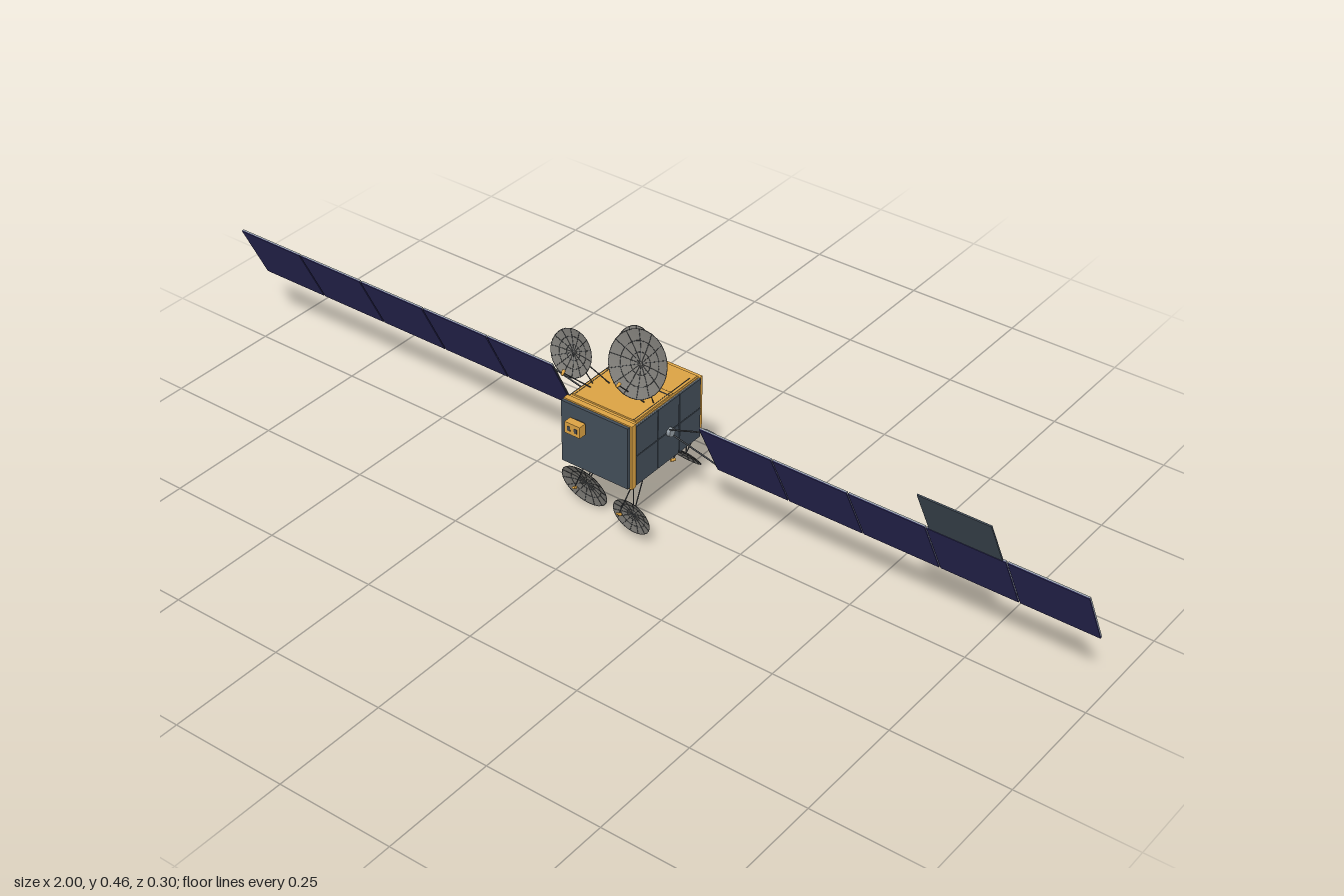
import * as THREE from 'three';

const mat = (name, color, side = THREE.FrontSide) => {
  const m = new THREE.MeshStandardMaterial({ color, side });
  m.name = name;
  return m;
};
const V = (x, y, z) => new THREE.Vector3(x, y, z);

export function createModel() {
  const root = new THREE.Group();
  root.name = 'satellite';
  const gold = mat('gold foil', 0xdca344);
  const slate = mat('slate radiator', 0x434e59);
  const navy = mat('navy solar cells', 0x2c2a59);
  const grey = mat('panel back grey', 0x959ea5);
  const metal = mat('ring metal', 0x6f7983);
  const dark = mat('dark strut', 0x45494d);
  const mesh = mat('dish mesh grey', 0x7d7b76, THREE.DoubleSide);

  const add = (parent, name, geo, material, x = 0, y = 0, z = 0) => {
    const m = new THREE.Mesh(geo, material);
    m.name = name;
    m.position.set(x, y, z);
    parent.add(m);
    return m;
  };
  const box = (parent, name, material, w, h, d, x, y, z) =>
    add(parent, name, new THREE.BoxGeometry(w, h, d), material, x, y, z);
  const rod = (parent, name, a, b, r = 0.0014, material = dark) => {
    const m = add(parent, name, new THREE.CylinderGeometry(r, r, a.distanceTo(b), 6), material);
    m.position.copy(a).add(b).multiplyScalar(0.5);
    m.quaternion.setFromUnitVectors(V(0, 1, 0), b.clone().sub(a).normalize());
    return m;
  };

  // Body with front and back plates
  const body = new THREE.Group();
  body.name = 'body';
  root.add(body);
  box(body, 'bodyCore', gold, 0.156, 0.14, 0.212, 0, 0.218, 0.012);
  box(body, 'frontFrame', gold, 0.162, 0.144, 0.012, 0, 0.218, 0.113);
  box(body, 'frontRadiator', slate, 0.158, 0.138, 0.007, -0.003, 0.218, 0.122);
  box(body, 'backPlate', gold, 0.158, 0.122, 0.01, 0, 0.224, -0.099);
  for (const s of [1, -1]) {
    box(body, 'deckPlate', gold, 0.15, 0.004, 0.115, 0, 0.218 + s * 0.0715, 0.0425);
    box(body, 'deckPlateRear', gold, 0.15, 0.002, 0.075, 0, 0.218 + s * 0.0705, -0.055);
    box(body, 'deckSeam', dark, 0.15, 0.001, 0.002, 0, 0.218 + s * 0.0738, -0.005);
    for (const x of [-0.07, 0.07])
      rod(body, 'deckRail', V(x, 0.218 + s * 0.0733, 0.1), V(x, 0.218 + s * 0.0733, -0.075), 0.0008);
    // Side radiators, three columns by two rows
    box(body, 'sideBacking', grey, 0.003, 0.135, 0.201, s * 0.0785, 0.218, 0.0065);
    for (const z of [0.0745, 0.0072, -0.061])
      for (const y of [0.184, 0.252])
        box(body, 'sideRadiator', slate, 0.003, 0.066, 0.0655, s * 0.081, y, z);
  }

  // Sensor box on the front
  box(body, 'sensorBox', gold, 0.036, 0.025, 0.017, -0.037, 0.25, 0.1405);
  box(body, 'sensorMount', dark, 0.02, 0.016, 0.008, -0.037, 0.25, 0.129);
  for (const x of [-0.045, -0.029])
    box(body, 'sensorAperture', dark, 0.007, 0.01, 0.001, x, 0.25, 0.1493);

  // Rear launch ring, an open hoop with inner rings
  const hoop = (name, r0, r1, depth, material) => {
    const s = new THREE.Shape().absarc(0, 0, r1, 0, Math.PI * 2, false);
    s.holes.push(new THREE.Path().absarc(0, 0, r0, 0, Math.PI * 2, true));
    const g = new THREE.ExtrudeGeometry(s, { depth, bevelEnabled: false, curveSegments: 24 });
    return add(body, name, g, material, 0, 0.218, -0.103 - depth);
  };
  hoop('launchRing', 0.036, 0.05, 0.012, metal);
  hoop('launchRingInner', 0.031, 0.036, 0.007, slate);
  hoop('engineRing', 0.02, 0.023, 0.004, metal);

  // Solar wings, tilted about the x axis
  for (const s of [1, -1]) {
    const wing = new THREE.Group();
    wing.name = s > 0 ? 'leftSolarWing' : 'rightSolarWing';
    wing.position.set(0, 0.218, 0.005);
    wing.rotation.x = 0.457;
    root.add(wing);
    for (let i = 0; i < 5; i++) {
      const x = s * (0.2565 + i * 0.1655);
      box(wing, 'panelBack', grey, 0.162, 0.142, 0.003, x, 0, -0.001);
      box(wing, 'panelCells', navy, 0.162, 0.142, 0.002, x, 0, 0.0015);
      if (i < 4)
        for (const y of [-0.045, 0.045])
          box(wing, 'panelHinge', dark, 0.008, 0.006, 0.003, x + s * 0.0828, y, -0.002);
    }
    // Yoke and drive hub
    for (const t of [1, -1])
      rod(wing, 'yokeArm', V(s * 0.086, t * 0.008, 0), V(s * 0.176, t * 0.058, 0), 0.0018);
    rod(wing, 'yokeBar', V(s * 0.174, -0.065, 0), V(s * 0.174, 0.065, 0), 0.0015);
    rod(wing, 'driveHub', V(s * 0.08, 0, 0), V(s * 0.09, 0, 0), 0.01, grey);
    if (s > 0) box(wing, 'auxiliaryPanel', slate, 0.15, 0.116, 0.003, 0.752, 0.129, 0);
  }

  // Mesh reflector: rim given by its upper and lower points [y, z]; faces forward
  const reflector = (name, x, top, bottom, r, feedAt, feet, feedFoot) => {
    const g = new THREE.Group();
    g.name = name;
    root.add(g);
    const dish = new THREE.Group();
    dish.name = 'dish';
    const c = V(x, (top[0] + bottom[0]) / 2, (top[1] + bottom[1]) / 2);
    const n = V(0, bottom[1] - top[1], top[0] - bottom[0]).normalize();
    dish.position.copy(c);
    dish.quaternion.setFromUnitVectors(V(0, 1, 0), n);
    g.add(dish);
    const depth = r * 0.16;
    const at = (t) => depth * (t * t - 1);
    const profile = [];
    for (let i = 0; i <= 6; i++) profile.push(new THREE.Vector2((r * i) / 6, at(i / 6)));
    add(dish, 'dishSurface', new THREE.LatheGeometry(profile, 28), mesh);
    // Ribs and hoops of the mesh
    for (let i = 0; i < 14; i++) {
      const a = (i / 14) * Math.PI * 2;
      const p = (t) => V(Math.cos(a) * r * t, at(t), Math.sin(a) * r * t);
      rod(dish, 'rib', p(0.05), p(0.5), 0.0006);
      rod(dish, 'rib', p(0.5), p(1), 0.0006);
    }
    for (const t of [0.33, 0.66, 1]) {
      const ring = add(dish, 'hoop', new THREE.TorusGeometry(r * t, 0.0006, 4, 28), dark, 0, at(t), 0);
      ring.rotation.x = Math.PI / 2;
    }
    // Support struts, feed boom and feed horn
    const back = c.clone().addScaledVector(n, -depth);
    for (const f of feet) rod(g, 'dishStrut', back, V(...f), 0.0012);
    const feed = V(x * 0.9, ...feedAt);
    const foot = V(...feedFoot);
    rod(g, 'feedBoom', foot, feed, 0.0012);
    const horn = add(g, 'feedHorn', new THREE.CylinderGeometry(0.0035, 0.0025, 0.011, 8), gold);
    horn.position.copy(feed);
    horn.quaternion.setFromUnitVectors(V(0, 1, 0), c.clone().sub(feed).normalize());
  };
  reflector('largeUpperDish', 0.062, [0.459, 0.054], [0.341, 0.1], 0.066, [0.378, 0.127],
    [[0.03, 0.29, -0.012], [0.065, 0.29, 0.032]], [0.05, 0.29, 0.04]);
  reflector('upperDish', -0.083, [0.418, 0.08], [0.33, 0.104], 0.048, [0.352, 0.127],
    [[-0.04, 0.29, 0.03], [-0.065, 0.29, 0.05]], [-0.06, 0.29, 0.062]);
  reflector('rearUpperDish', -0.048, [0.362, -0.073], [0.302, -0.032], 0.037, [0.323, -0.02],
    [[-0.03, 0.287, -0.095], [-0.065, 0.287, -0.095]], [-0.05, 0.287, -0.095]);
  reflector('largeLowerDish', -0.078, [0.103, 0.08], [0.002, 0.048], 0.054, [0.076, 0.104],
    [[-0.045, 0.146, 0.02], [-0.07, 0.146, 0.024]], [-0.06, 0.146, 0.06]);
  reflector('lowerDish', 0.066, [0.107, 0.111], [0.025, 0.093], 0.043, [0.088, 0.132],
    [[0.04, 0.146, 0.06], [0.068, 0.146, 0.064]], [0.055, 0.146, 0.065]);
  for (const s of [1, -1])
    reflector('rearLowerDish', s * 0.064, [0.137, -0.048], [0.084, -0.093], 0.036, [0.115, -0.043 + s * 0.003],
      [[s * 0.045, 0.16, -0.1], [s * 0.07, 0.15, -0.095]], [s * 0.055, 0.155, -0.1]);

  // Thruster booms at the lower rear corners
  for (const s of [1, -1]) {
    const curve = new THREE.CatmullRomCurve3([
      V(s * 0.075, 0.16, -0.1), V(s * 0.085, 0.15, -0.116), V(s * 0.094, 0.137, -0.128), V(s * 0.1, 0.122, -0.138)]);
    add(root, 'thrusterBoom', new THREE.TubeGeometry(curve, 10, 0.0045, 8), metal);
    rod(root, 'thruster', V(s * 0.098, 0.125, -0.135), V(s * 0.103, 0.113, -0.144), 0.0075, slate);
  }
  return root;
}
